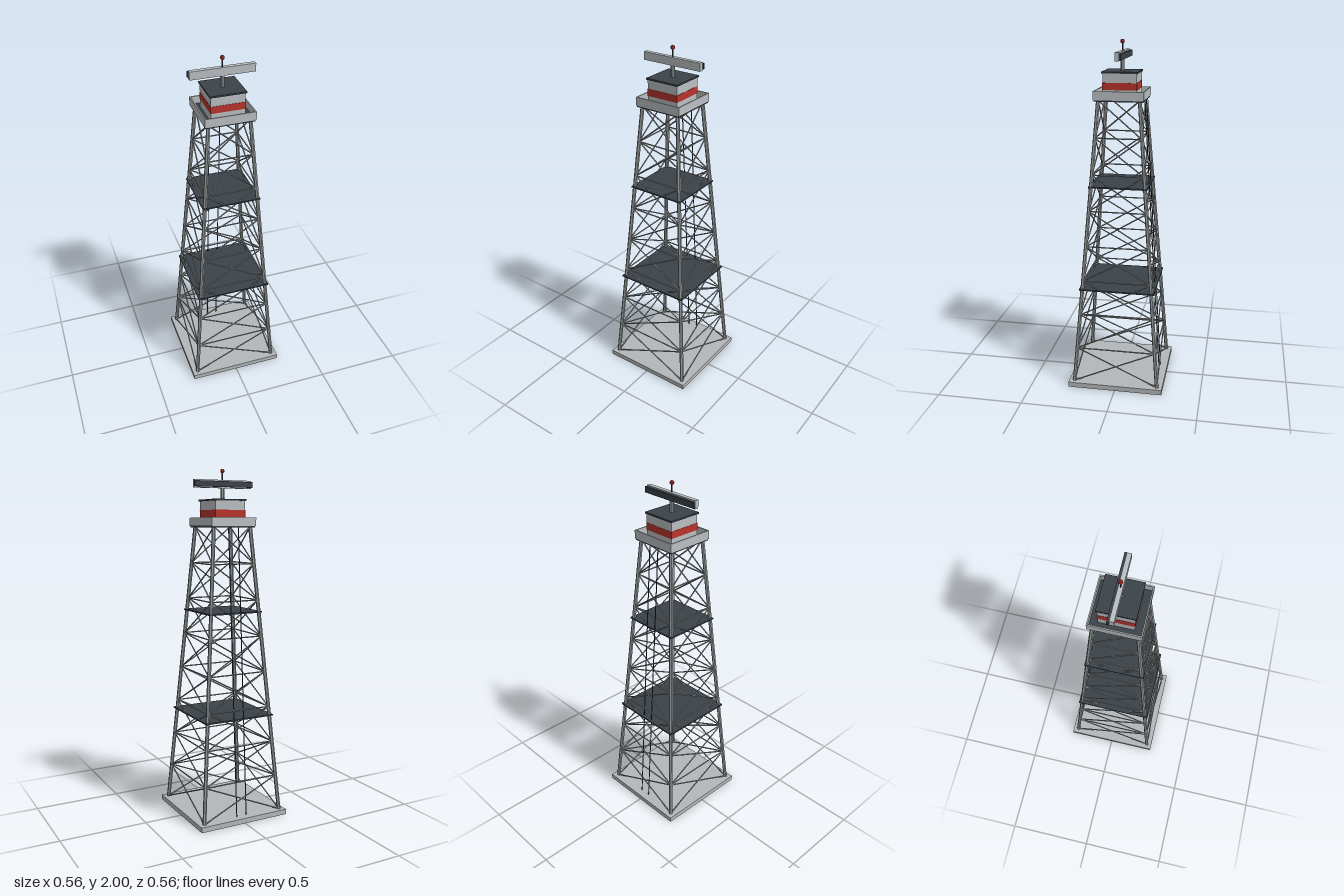
import * as THREE from 'three';

const mat = (name, color) => {
  const m = new THREE.MeshStandardMaterial({ color, flatShading: true });
  m.name = name;
  return m;
};

export function createModel() {
  const concrete = mat('concrete', 0xb4b8ba);
  const steel = mat('steel', 0x9c9fa0);
  const panel = mat('pale panel', 0xbcc0c3);
  const dark = mat('dark deck', 0x3b4249);
  const red = mat('signal red', 0xb8342c);

  const root = new THREE.Group();
  root.name = 'latticeTower';

  const group = (name) => {
    const g = new THREE.Group();
    g.name = name;
    root.add(g);
    return g;
  };
  const box = (name, w, y0, y1, d, m, parent = root, x = 0, z = 0) => {
    const mesh = new THREE.Mesh(new THREE.BoxGeometry(w, y1 - y0, d), m);
    mesh.position.set(x, (y0 + y1) / 2, z);
    mesh.name = name;
    parent.add(mesh);
    return mesh;
  };
  // Round bar between two points
  const up = new THREE.Vector3(0, 1, 0);
  const bar = (name, a, b, r, sides, m, parent) => {
    const dir = b.clone().sub(a);
    const mesh = new THREE.Mesh(new THREE.CylinderGeometry(r, r, dir.length(), sides), m);
    mesh.position.copy(a).add(b).multiplyScalar(0.5);
    mesh.quaternion.setFromUnitVectors(up, dir.normalize());
    mesh.name = name;
    parent.add(mesh);
  };
  const V = (x, y, z) => new THREE.Vector3(x, y, z);

  const yBase = 0.03, yTop = 1.68;
  const halfAt = (y) => THREE.MathUtils.mapLinear(y, yBase, yTop, 0.247, 0.115);

  // Foundation
  box('foundation', 0.556, 0, yBase, 0.556, concrete);

  // Tapered corner legs
  const legs = group('legs');
  for (const sx of [-1, 1]) for (const sz of [-1, 1]) {
    const b = halfAt(yBase), t = halfAt(yTop);
    bar('leg', V(sx * b, yBase - 0.005, sz * b), V(sx * t, yTop, sz * t), 0.011, 6, steel, legs);
  }

  // Cross braces and girts on all four faces
  const bays = 8;
  const lattice = group('lattice');
  for (let side = 0; side < 4; side++) {
    const face = new THREE.Group();
    face.name = 'latticeFace';
    face.rotation.y = side * Math.PI / 2;
    lattice.add(face);
    for (let i = 0; i < bays; i++) {
      const y0 = yBase + (yTop - yBase) * i / bays;
      const y1 = yBase + (yTop - yBase) * (i + 1) / bays;
      const a = halfAt(y0), b = halfAt(y1);
      bar('crossBrace', V(-a, y0, a), V(b, y1, b), 0.004, 5, steel, face);
      bar('crossBrace', V(a, y0, a), V(-b, y1, b), 0.004, 5, steel, face);
      bar('girt', V(-b, y1, b), V(b, y1, b), 0.004, 5, steel, face);
    }
  }

  // Intermediate decks
  for (const [y, half] of [[0.6, 0.218], [1.2, 0.167]]) {
    box('deck', half * 2, y - 0.004, y + 0.004, half * 2, dark);
  }

  // Ladder rails up the back
  const ladder = group('ladder');
  for (const s of [-1, 1]) {
    bar('ladderRail', V(s * 0.031, yBase, -0.234), V(s * 0.031, yTop, -0.13), 0.003, 5, dark, ladder);
  }

  // Top platform with parapet
  const platform = group('topPlatform');
  box('platformFloor', 0.272, 1.674, 1.688, 0.272, dark, platform);
  for (const s of [-1, 1]) {
    box('parapet', 0.28, 1.682, 1.73, 0.007, panel, platform, 0, s * 0.1365);
    box('parapet', 0.007, 1.682, 1.73, 0.266, panel, platform, s * 0.1365, 0);
  }

  // Cabin with painted band and roof
  const cabin = group('cabin');
  box('cabinBody', 0.188, 1.688, 1.823, 0.188, panel, cabin);
  box('cabinBand', 0.191, 1.733, 1.772, 0.191, red, cabin);
  box('cabinRoof', 0.2, 1.822, 1.831, 0.2, dark, cabin);

  // Antenna on its mast
  const antenna = group('antenna');
  bar('mast', V(0, 1.83, 0), V(0, 1.9, 0), 0.012, 8, steel, antenna);
  box('antennaBar', 0.358, 1.893, 1.938, 0.024, panel, antenna);
  box('antennaBack', 0.366, 1.899, 1.931, 0.012, dark, antenna, 0, -0.018);

  // Beacon
  bar('beaconPole', V(0, 1.935, 0), V(0, 1.985, 0), 0.004, 6, dark, antenna);
  const lamp = new THREE.Mesh(new THREE.SphereGeometry(0.0125, 8, 6), red);
  lamp.position.y = 1.9875;
  lamp.name = 'beaconLamp';
  antenna.add(lamp);

  return root;
}
